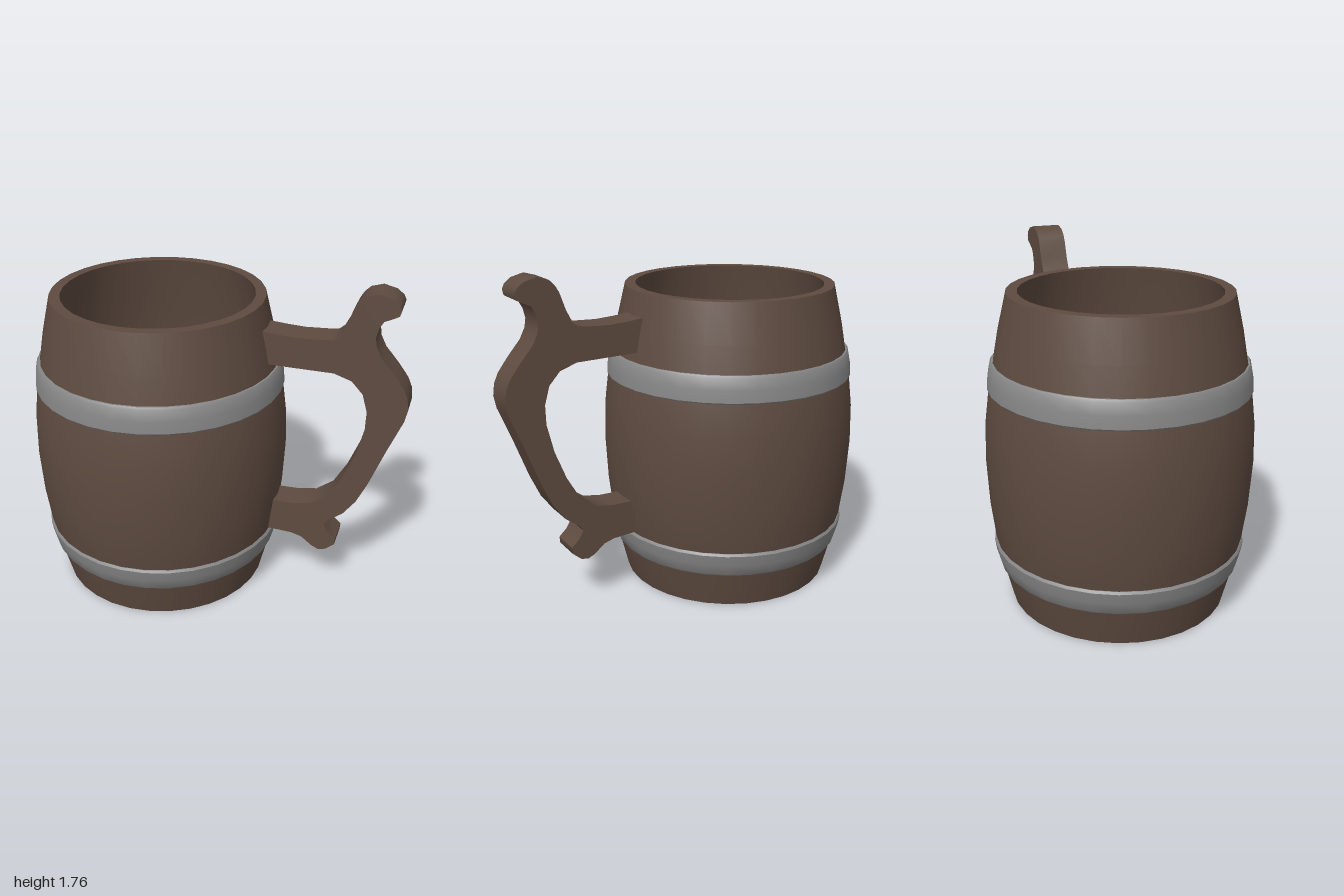
import * as THREE from 'three';
import { toCreasedNormals } from 'three/addons/utils/BufferGeometryUtils.js';

const AXIS_X = -0.32; // barrel axis
const SIDES = 32;

export function createModel() {
  const wood = new THREE.MeshStandardMaterial({ color: 0x5e4b40 });
  wood.name = 'brown wood';
  const iron = new THREE.MeshStandardMaterial({ color: 0x878787 });
  iron.name = 'grey iron';

  const model = new THREE.Group();
  model.name = 'barrelMug';

  const addMesh = (name, geometry, material, crease) => {
    const mesh = new THREE.Mesh(toCreasedNormals(geometry, crease), material);
    mesh.name = name;
    model.add(mesh);
    return mesh;
  };
  const addLathe = (name, points, material) => {
    const profile = points.map(([r, y]) => new THREE.Vector2(r, y));
    addMesh(name, new THREE.LatheGeometry(profile, SIDES), material, 0.5).position.x = AXIS_X;
  };

  // Hollow barrel: recessed base, bulging wall, rim, inner wall and floor
  const outer = [
    [0.565, 0], [0.615, 0.2], [0.643, 0.34], [0.668, 0.54], [0.681, 0.78],
    [0.675, 0.98], [0.655, 1.14], [0.628, 1.28], [0.602, 1.42], [0.555, 1.62],
  ];
  const inner = outer.slice(1, -1).reverse().map(([r, y]) => [r - 0.055, y]);
  addLathe('barrel', [
    [0, 0.06], [0.53, 0.06], [0.52, 0], ...outer,
    [0.5, 1.62], ...inner, [0.54, 0.12], [0, 0.12],
  ], wood);

  // Metal hoops with softened edges
  const addHoop = (name, y0, r0, y1, r1) => {
    const rm = (r0 + r1) / 2 + 0.004;
    addLathe(name, [
      [r0 - 0.04, y0], [r0 - 0.006, y0], [r0, y0 + 0.008], [rm, (y0 + y1) / 2],
      [r1, y1 - 0.012], [r1 - 0.008, y1], [r1 - 0.04, y1],
    ], iron);
  };
  addHoop('upperHoop', 1.14, 0.661, 1.28, 0.645);
  addHoop('lowerHoop', 0.2, 0.627, 0.335, 0.653);

  // Carved handle: one outline, clockwise from the upper joint
  const outline = [
    [0.24, 1.503], [0.34, 1.495], [0.44, 1.49], [0.57, 1.497], [0.61, 1.503], [0.637, 1.525],
    [0.67, 1.59], [0.7, 1.675], [0.72, 1.71], [0.75, 1.74], [0.81, 1.758], [0.875, 1.742],
    [0.91, 1.715], [0.922, 1.69], [0.915, 1.66], [0.885, 1.644], [0.845, 1.625], [0.825, 1.59],
    [0.813, 1.54], [0.82, 1.495], [0.848, 1.44], [0.917, 1.36], [0.97, 1.29], [0.992, 1.24],
    [1.0, 1.18], [0.987, 1.115], [0.917, 0.94], [0.837, 0.725], [0.783, 0.607], [0.72, 0.52],
    [0.64, 0.458], [0.623, 0.43], [0.645, 0.39], [0.69, 0.348], [0.687, 0.313], [0.64, 0.272],
    [0.6, 0.262], [0.56, 0.28], [0.505, 0.324], [0.447, 0.34], [0.28, 0.347],
    [0.28, 0.527], [0.447, 0.532], [0.543, 0.55], [0.634, 0.618], [0.703, 0.74], [0.762, 0.89],
    [0.798, 1.04], [0.8, 1.14], [0.773, 1.233], [0.714, 1.297], [0.623, 1.327], [0.24, 1.329],
  ].map(([x, y]) => new THREE.Vector2(x, y));
  const thickness = 0.155;
  const handle = new THREE.ExtrudeGeometry(new THREE.Shape(outline), {
    depth: thickness, bevelEnabled: false,
  });
  handle.translate(0, 0, -thickness / 2);
  addMesh('handle', handle, wood, 0.8);

  return model;
}
